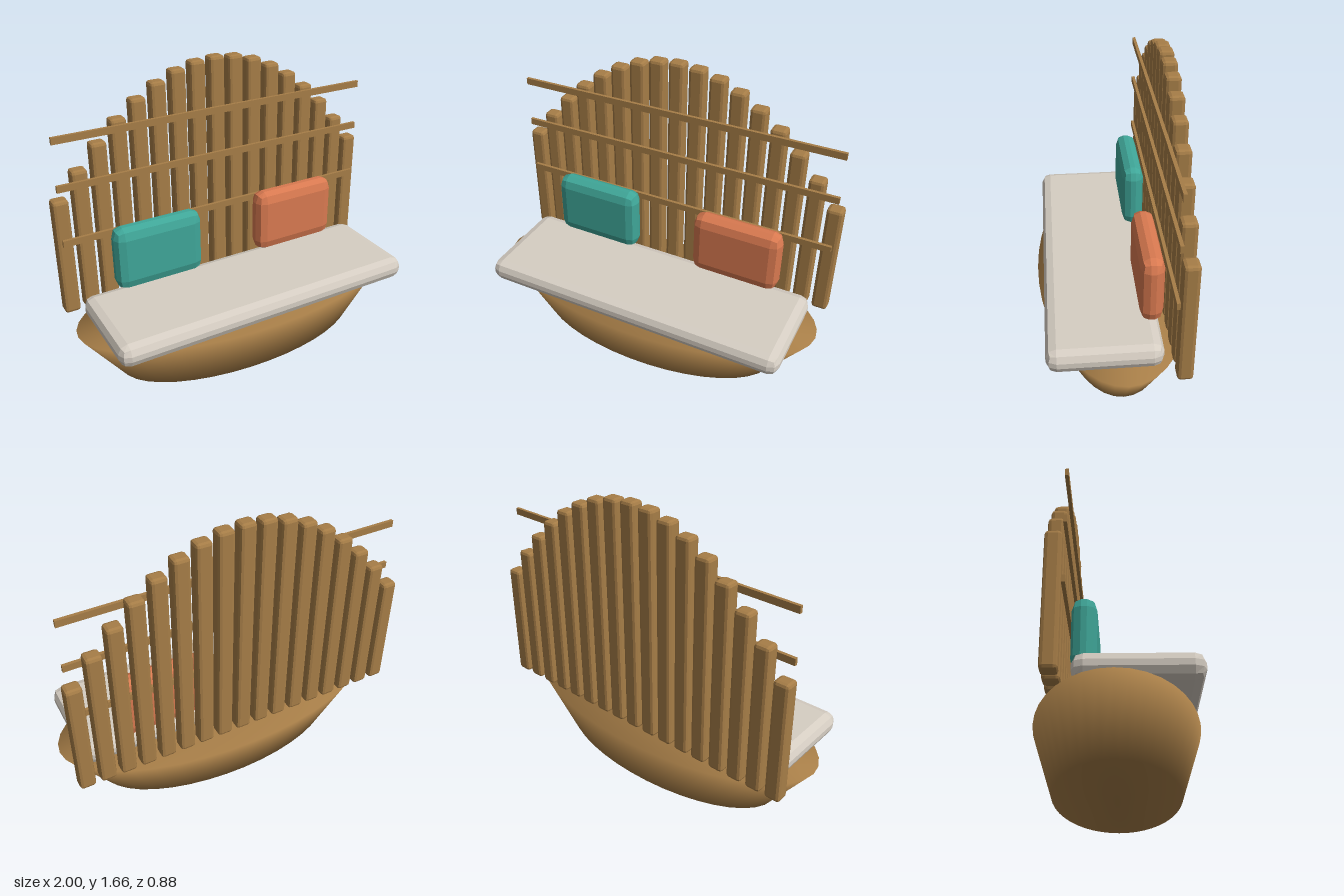
import * as THREE from 'three';
import { mergeVertices } from 'three/addons/utils/BufferGeometryUtils.js';
import { RoundedBoxGeometry } from 'three/addons/geometries/RoundedBoxGeometry.js';

const mat = (name, color) => {
  const m = new THREE.MeshStandardMaterial({ color });
  m.name = name;
  return m;
};

// Box with a faceted two-step bevel; each axis has its own bevel size
function bevelBox(w, h, d, rx, ry, rz) {
  const g = new RoundedBoxGeometry(w / rx, h / ry, d / rz, 1, 1);
  g.scale(rx, ry, rz);
  const flat = g.index ? g.toNonIndexed() : g;
  flat.computeVertexNormals();
  return flat;
}

export function createModel() {
  const group = new THREE.Group();
  group.name = 'bench';
  const wood = mat('wood', 0xa67d47);
  const linen = mat('linen', 0xd6cec3);
  const teal = mat('teal fabric', 0x3fa698);
  const coral = mat('coral fabric', 0xd87950);

  const add = (name, geometry, material, x, y, z) => {
    const mesh = new THREE.Mesh(geometry, material);
    mesh.name = name;
    mesh.position.set(x, y, z);
    group.add(mesh);
  };

  // Oval tapered base, softly shaded over its rims
  let base = new THREE.CylinderGeometry(1, 0.765, 0.32, 40, 1);
  base.scale(1, 1, 0.44);
  base.deleteAttribute('uv');
  base.deleteAttribute('normal');
  base = mergeVertices(base, 1e-4);
  base.computeVertexNormals();
  add('base', base, wood, 0, 0.16, 0);

  // Backrest slats whose tops follow an arch
  const bottom = 0.323;
  for (let i = -8; i <= 8; i++) {
    const top = 1.66 - 0.645 * (i / 8) ** 2;
    const slat = bevelBox(0.09, top - bottom, 0.082, 0.018, 0.018, 0.018);
    add('backSlat', slat, wood, i * 0.1178, (top + bottom) / 2, -0.277);
  }

  // Thin rails across the front of the slats
  for (const y of [0.773, 1.095, 1.362]) {
    add('backRail', new THREE.BoxGeometry(1.92, 0.038, 0.018), wood, 0, y, -0.227);
  }

  // Seat cushion and two back pillows
  add('seatCushion', bevelBox(1.81, 0.127, 0.594, 0.055, 0.048, 0.055), linen, 0, 0.3875, 0.106);
  const pillow = bevelBox(0.526, 0.38, 0.125, 0.056, 0.064, 0.048);
  add('rightPillow', pillow, teal, -0.45, 0.643, -0.148);
  add('leftPillow', pillow, coral, 0.45, 0.643, -0.148);

  return group;
}
